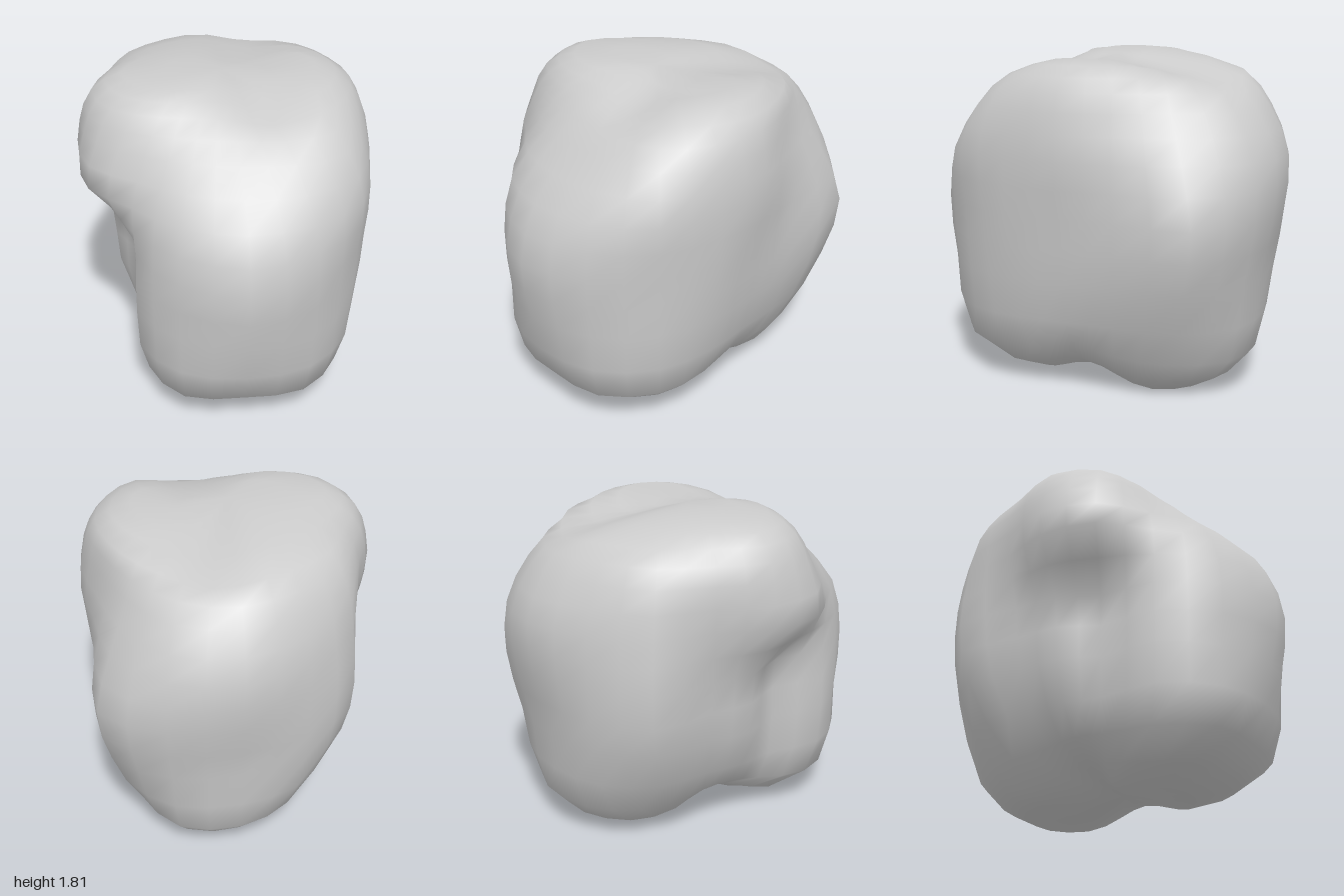
import * as THREE from 'three';

// Horizontal sections: [height, sixteen radii from +x (left) round through +z (front)]
const SECTIONS = [
  [0.02, 0.37, 0.40, 0.43, 0.44, 0.44, 0.36, 0.24, 0.12, 0.08, 0.11, 0.22, 0.40, 0.54, 0.59, 0.53, 0.42],
  [0.23, 0.58, 0.65, 0.78, 0.86, 0.82, 0.83, 0.69, 0.48, 0.42, 0.43, 0.56, 0.73, 0.83, 0.86, 0.74, 0.61],
  [0.65, 0.70, 0.76, 0.86, 0.93, 0.95, 0.88, 0.77, 0.56, 0.60, 0.63, 0.82, 0.88, 0.89, 0.95, 0.95, 0.76],
  [1.00, 0.74, 0.80, 0.88, 0.96, 1.00, 0.90, 0.76, 0.57, 0.63, 0.67, 0.88, 0.91, 0.97, 1.02, 1.03, 0.79],
  [1.30, 0.78, 0.81, 0.90, 0.91, 0.89, 0.84, 0.77, 0.82, 0.79, 0.73, 0.85, 0.90, 0.99, 1.00, 0.91, 0.78],
  [1.55, 0.75, 0.77, 0.80, 0.71, 0.63, 0.63, 0.66, 0.76, 0.78, 0.74, 0.80, 0.82, 0.88, 0.87, 0.77, 0.72],
  [1.72, 0.68, 0.66, 0.62, 0.49, 0.44, 0.45, 0.54, 0.67, 0.71, 0.65, 0.68, 0.69, 0.72, 0.69, 0.68, 0.67],
  [1.81, 0.49, 0.45, 0.34, 0.24, 0.22, 0.26, 0.38, 0.50, 0.55, 0.46, 0.36, 0.29, 0.27, 0.29, 0.38, 0.46],
];
const AROUND = 32, ROWS = 18;

// Smooth closed outline of one section
function ring([y, ...radii]) {
  const pts = radii.map((r, k) => {
    const a = (k / radii.length) * Math.PI * 2;
    return new THREE.Vector3(r * Math.cos(a), y, r * Math.sin(a));
  });
  const curve = new THREE.CatmullRomCurve3(pts, true);
  return Array.from({ length: AROUND }, (_, j) => curve.getPoint(j / AROUND));
}

// Hollow under the middle and shallow dip across the top
function sculpt(p) {
  const low = Math.max(0, 1 - p.y / 0.4);
  const high = THREE.MathUtils.smoothstep(p.y, 1.6, 1.8);
  p.y += 0.11 * low * Math.exp(-((p.z / 0.24) ** 2));
  p.y -= 0.07 * high * Math.exp(-(((p.x - 0.18) / 0.2) ** 2));
  p.y = Math.max(0, p.y);
  return p;
}

function boulderGeometry() {
  const rings = SECTIONS.map(ring);
  const bottom = new THREE.Vector3(0.15, 0.01, 0);
  const top = new THREE.Vector3(-0.02, 1.83, 0);
  const positions = [], index = [];

  // Columns run from the bottom pole to the top pole
  for (let j = 0; j < AROUND; j++) {
    const column = new THREE.CatmullRomCurve3([bottom, ...rings.map((r) => r[j]), top]);
    for (let i = 1; i < ROWS; i++) positions.push(...sculpt(column.getPoint(i / ROWS)).toArray());
  }
  const n = ROWS - 1, south = AROUND * n, north = south + 1;
  positions.push(...sculpt(bottom.clone()).toArray(), ...sculpt(top.clone()).toArray());

  for (let j = 0; j < AROUND; j++) {
    const a = j * n, b = ((j + 1) % AROUND) * n;
    for (let i = 0; i < n - 1; i++) {
      index.push(a + i, a + i + 1, b + i, b + i, a + i + 1, b + i + 1);
    }
    index.push(south, a, b, north, b + n - 1, a + n - 1);
  }
  const geometry = new THREE.BufferGeometry();
  geometry.setAttribute('position', new THREE.Float32BufferAttribute(positions, 3));
  geometry.setIndex(index);
  geometry.computeVertexNormals();
  return geometry;
}

export function createModel() {
  const group = new THREE.Group();
  group.name = 'rock';
  const boulder = new THREE.Mesh(boulderGeometry(), new THREE.MeshStandardMaterial({ color: 0xcccccc }));
  boulder.name = 'boulder';
  group.add(boulder);
  return group;
}
